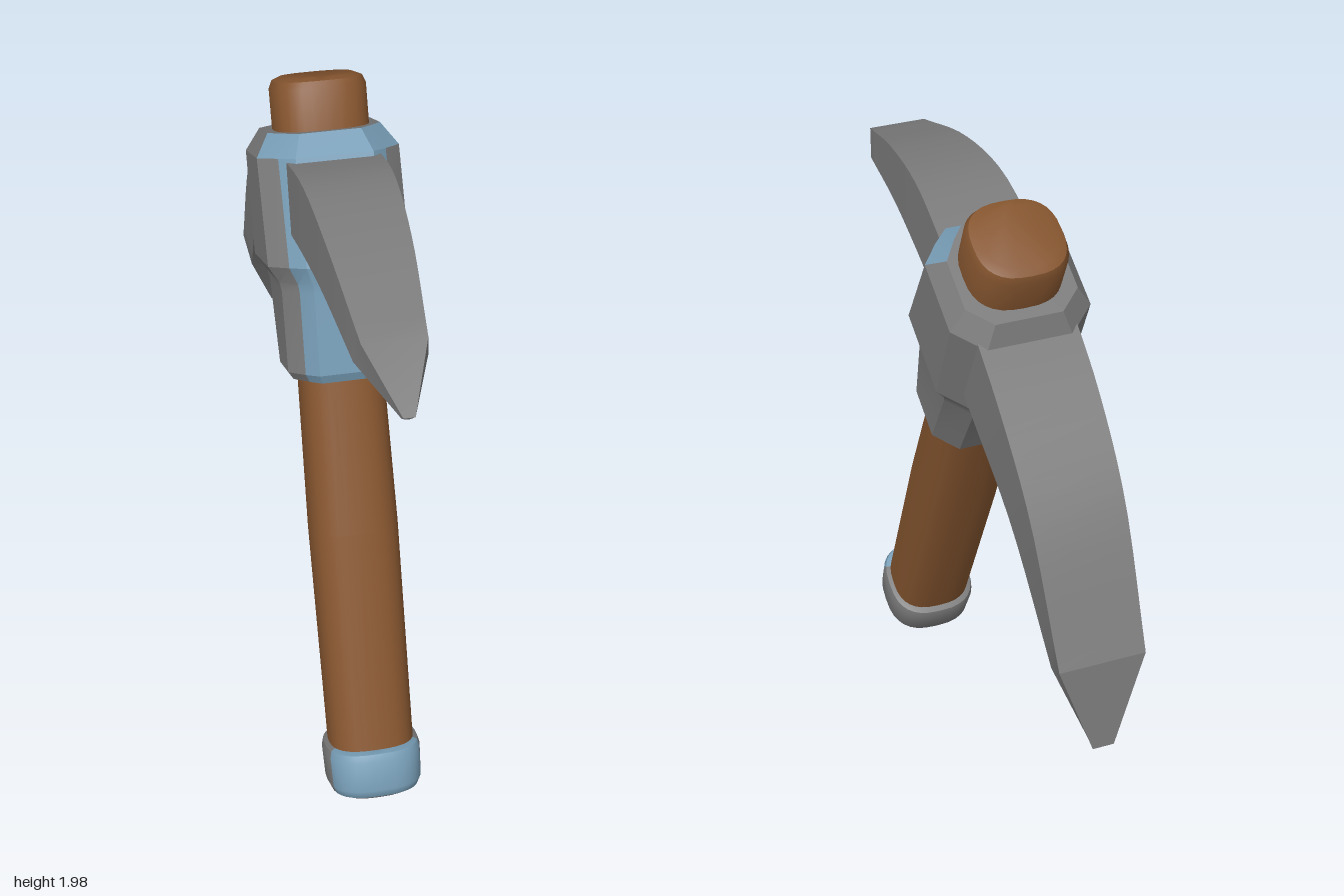
import * as THREE from 'three';
import { toCreasedNormals } from 'three/addons/utils/BufferGeometryUtils.js';

const wood = new THREE.MeshStandardMaterial({ color: 0x85552f });
wood.name = 'brown wood';
const steel = new THREE.MeshStandardMaterial({ color: 0x7b7b7c });
steel.name = 'grey steel';
const blueSteel = new THREE.MeshStandardMaterial({ color: 0x779db6 });
blueSteel.name = 'blue steel';

// Skin rings of points (counter-clockwise seen from the far end) and cap both ends.
// paint(ring, side, midpoint) returns the material index; ring -1 and -2 are the caps.
function loft(name, rings, materials, crease, paint = () => 0) {
  const faces = materials.map(() => []);
  const add = (m, ...points) => points.forEach((p) => faces[m].push(p.x, p.y, p.z));
  const n = rings[0].length;
  for (let i = 0; i < rings.length - 1; i++) {
    for (let j = 0; j < n; j++) {
      const k = (j + 1) % n;
      const a = rings[i][j], b = rings[i][k], c = rings[i + 1][k], d = rings[i + 1][j];
      const m = paint(i, j, a.clone().add(c).multiplyScalar(0.5));
      add(m, a, b, c);
      add(m, a, c, d);
    }
  }
  const first = rings[0], last = rings[rings.length - 1];
  for (let j = 1; j < n - 1; j++) {
    add(paint(-1, j, first[0]), first[0], first[j + 1], first[j]);
    add(paint(-2, j, last[0]), last[0], last[j], last[j + 1]);
  }
  const geometry = new THREE.BufferGeometry();
  geometry.setAttribute('position', new THREE.Float32BufferAttribute(faces.flat(), 3));
  let start = 0;
  faces.forEach((f, m) => {
    geometry.addGroup(start, f.length / 3, m);
    start += f.length / 3;
  });
  const mesh = new THREE.Mesh(toCreasedNormals(geometry, crease), materials);
  mesh.name = name;
  return mesh;
}

// Rounded-square ring across the handle
function roundRing([y, rx, rz]) {
  const ring = [];
  for (let j = 0; j < 32; j++) {
    const a = (j / 32) * Math.PI * 2;
    const soft = (v) => Math.sign(v) * Math.abs(v) ** 0.75;
    ring.push(new THREE.Vector3(rx * soft(Math.sin(a)), y, rz * soft(Math.cos(a))));
  }
  return ring;
}

// Chamfered ring of the metal head: half width, front depth, back depth
function headRing([y, w, front, back]) {
  const c = w * 0.4;
  const half = [
    [w * 0.54, front], [w * 0.75, front - 0.04], [w, front - 0.1],
    [w, c - back], [w - c, -back],
  ];
  const right = half.map(([x, z]) => new THREE.Vector3(x, y, z));
  const left = half.map(([x, z]) => new THREE.Vector3(-x, y, z)).reverse();
  return [...right, ...left];
}

// Curved blade with a flat top, sloping sides and a keel below.
// Stations: top z,y / lower edge z,y / keel z,y / half widths of top and lower edge.
function blade(name, stations, direction, paint) {
  const s = direction;
  const rails = [
    ([tz, ty, , , , , wt]) => new THREE.Vector3(s * wt, ty, tz),
    ([tz, ty, , , , , wt]) => new THREE.Vector3(-s * wt, ty, tz),
    ([, , lz, ly, , , , wl]) => new THREE.Vector3(-s * wl, ly, lz),
    ([, , , , kz, ky]) => new THREE.Vector3(0, ky, kz),
    ([, , lz, ly, , , , wl]) => new THREE.Vector3(s * wl, ly, lz),
  ];
  const body = stations.slice(0, -1);
  const curves = rails.map((rail) => new THREE.CatmullRomCurve3(body.map(rail)));
  const rings = [];
  for (let i = 0; i <= 14; i++) rings.push(curves.map((curve) => curve.getPoint(i / 14)));
  rings.push(rails.map((rail) => rail(stations[stations.length - 1])));
  return loft(name, rings, [steel, blueSteel], 0.35, paint);
}

export function createModel() {
  const model = new THREE.Group();
  model.name = 'pickaxe';

  // Handle and head lean back together
  const shaft = new THREE.Group();
  shaft.name = 'leaningShaft';
  shaft.position.set(0, 0.06, 0.6);
  shaft.rotation.x = -0.424;
  model.add(shaft);

  shaft.add(loft('handle', [
    [0.1, 0.122, 0.117], [0.8, 0.126, 0.12], [1.3, 0.118, 0.116],
    [1.9, 0.13, 0.128], [2.045, 0.13, 0.128], [2.066, 0.121, 0.119], [2.075, 0.1, 0.098],
  ].map(roundRing), [wood], 0.7));

  // Pommel with a blue front
  shaft.add(loft('pommel', [
    [0, 0.105, 0.105], [0.012, 0.127, 0.127], [0.035, 0.137, 0.138],
    [0.125, 0.14, 0.142], [0.145, 0.135, 0.135], [0.152, 0.12, 0.115],
  ].map(roundRing), [steel, blueSteel], 0.7, (i, j, p) => (i >= 1 && p.z > 0.06 ? 1 : 0)));

  // Collar and block, with blue front faces and front top chamfer
  const isFront = (i, j) => {
    const reach = i === 5 ? 2 : 1;
    return i >= 0 && (j === 9 || j < reach || j > 8 - reach) ? 1 : 0;
  };
  shaft.add(loft('head', [
    [1.25, 0.14, 0.145, 0.13], [1.275, 0.156, 0.165, 0.146],
    [1.51, 0.16, 0.205, 0.175], [1.535, 0.165, 0.21, 0.18],
    [1.585, 0.195, 0.23, 0.2], [1.875, 0.195, 0.195, 0.197], [1.935, 0.155, 0.155, 0.16],
  ].map(headRing), [steel, blueSteel], 0.3, isFront));

  // Pointed front blade
  model.add(blade('frontPick', [
    [-0.08, 1.81, 0.03, 1.65, 0.03, 1.595, 0.13, 0.135],
    [0.19, 1.88, 0.2, 1.69, 0.2, 1.645, 0.122, 0.13],
    [0.455, 1.857, 0.42, 1.71, 0.42, 1.67, 0.108, 0.117],
    [0.746, 1.767, 0.71, 1.69, 0.71, 1.668, 0.083, 0.094],
    [0.917, 1.662, 0.905, 1.652, 0.907, 1.649, 0.015, 0.016],
  ], 1));

  // Broad back blade
  model.add(blade('backPick', [
    [-0.27, 1.74, -0.12, 1.53, -0.1, 1.49, 0.138, 0.142],
    [-0.48, 1.605, -0.33, 1.43, -0.32, 1.387, 0.136, 0.14],
    [-0.69, 1.405, -0.56, 1.285, -0.54, 1.253, 0.13, 0.13],
    [-0.894, 1.042, -0.81, 0.985, -0.8, 0.955, 0.12, 0.108],
    [-0.922, 0.768, -0.907, 0.775, -0.902, 0.782, 0.03, 0.03],
  ], -1, (i) => (i === -2 ? 1 : 0)));

  return model;
}
